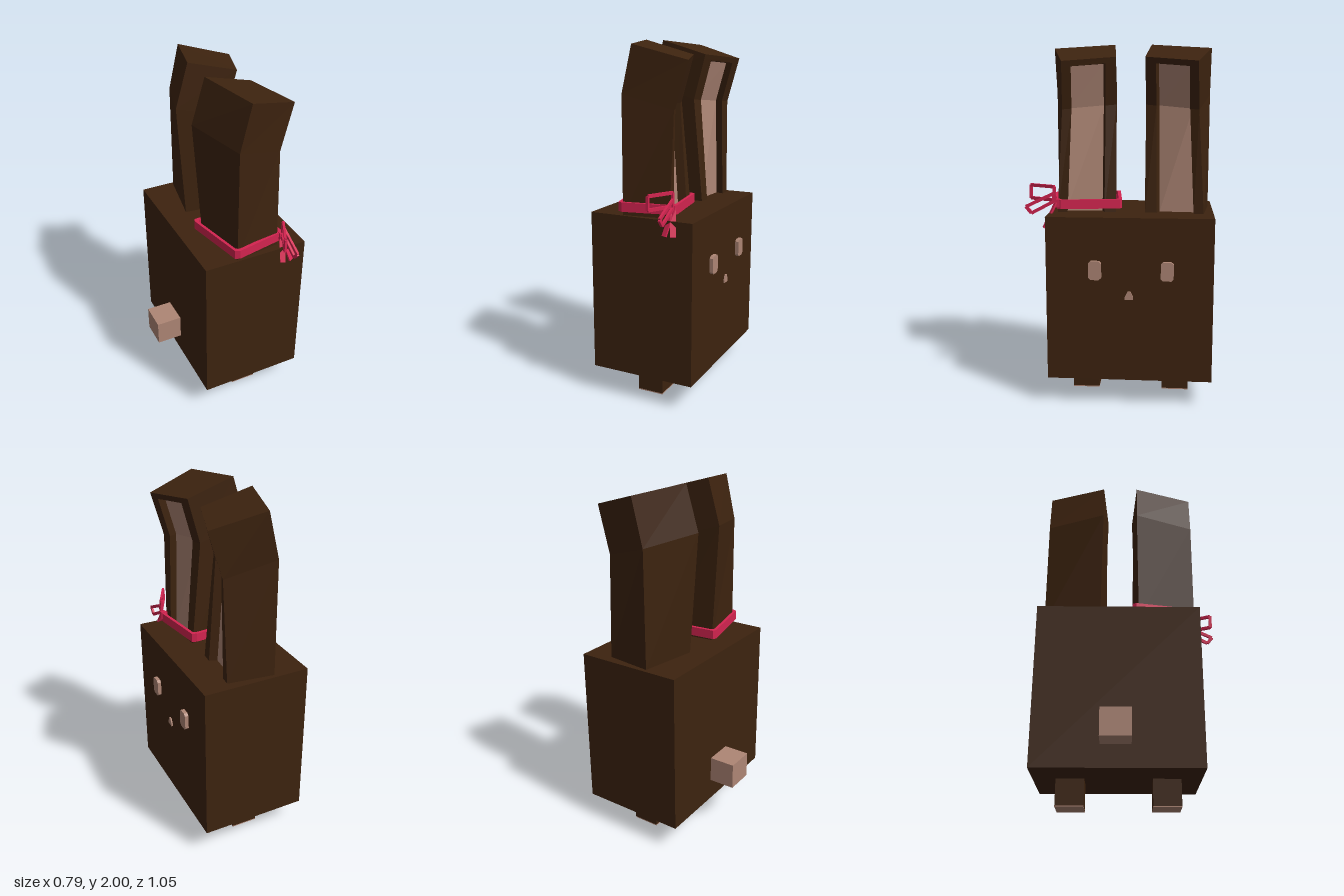
import * as THREE from 'three';

const mat = (name, color) => Object.assign(new THREE.MeshStandardMaterial({ color }), { name });
const V = (x, y, z) => new THREE.Vector3(x, y, z);

// Flat-shaded geometry from a list of four-cornered faces
function quadGeometry(quads, mirrored) {
  const p = [];
  for (const q of quads) {
    const c = q.map((v) => (mirrored ? V(v.x, v.y, -0.125 - v.z) : v));
    if (mirrored) c.reverse();
    for (const i of [0, 1, 2, 0, 2, 3]) p.push(c[i].x, c[i].y, c[i].z);
  }
  const g = new THREE.BufferGeometry();
  g.setAttribute('position', new THREE.Float32BufferAttribute(p, 3));
  g.computeVertexNormals();
  return g;
}

export function createModel() {
  const root = new THREE.Group();
  const brown = mat('brown fur', 0x3d230f);
  const pink = mat('dusty pink', 0xae8675);
  const red = mat('ribbon red', 0xd42450);

  function add(name, geometry, material, parent = root) {
    const m = new THREE.Mesh(geometry, material);
    m.name = name;
    parent.add(m);
    return m;
  }
  // Box given by its low and high corners
  function box(name, material, [x0, y0, z0], [x1, y1, z1]) {
    add(name, new THREE.BoxGeometry(x1 - x0, y1 - y0, z1 - z0), material)
      .position.set((x0 + x1) / 2, (y0 + y1) / 2, (z0 + z1) / 2);
  }
  // Flat strip from a to b
  function strip(name, a, b, w, h, parent) {
    const m = add(name, new THREE.BoxGeometry(w, h, a.distanceTo(b)), red, parent);
    m.position.copy(a).lerp(b, 0.5);
    m.lookAt(b);
  }

  // Body, tail and feet
  box('body', brown, [-0.245, 0.15, -0.525], [0.37, 1.07, 0.39]);
  box('tail', pink, [-0.395, 0.275, -0.16], [-0.245, 0.425, 0.005]);
  for (const [name, z] of [['left', 0.2], ['right', -0.323]]) {
    box(name + 'Foot', brown, [-0.015, 0.006, z - 0.077], [0.138, 0.15, z + 0.077]);
    box(name + 'Sole', pink, [-0.015, 0, z - 0.077], [0.138, 0.006, z + 0.077]);
  }

  // Eyes and nose: outlines pushed out from the face along +x
  function facePlate(name, outline, depth, x, y, z) {
    const shape = new THREE.Shape(outline.map(([a, b]) => new THREE.Vector2(a, b)));
    const m = add(name, new THREE.ExtrudeGeometry(shape, { depth, bevelEnabled: false }), pink);
    m.rotation.y = Math.PI / 2;
    m.position.set(x, y, z);
  }
  const eye = [[-0.035, -0.04], [-0.022, -0.052], [0.022, -0.052], [0.035, -0.04],
    [0.035, 0.04], [0.022, 0.052], [-0.022, 0.052], [-0.035, 0.04]];
  facePlate('leftEye', eye, 0.022, 0.369, 0.78, 0.12);
  facePlate('rightEye', eye, 0.022, 0.369, 0.78, -0.274);
  facePlate('nose', [[-0.023, -0.023], [0.023, -0.023], [0.023, -0.008], [0.008, 0.022],
    [-0.008, 0.022], [-0.023, -0.008]], 0.008, 0.376, 0.642, -0.067);

  // Ear cross-sections, corners: back inner, back outer, front outer, front inner
  const sections = [
    [V(-0.108, 1.065, 0.05), V(-0.05, 1.065, 0.378), V(0.215, 1.065, 0.345), V(0.19, 1.065, 0.018)],
    [V(-0.155, 1.75, 0.04), V(-0.05, 1.72, 0.378), V(0.222, 1.64, 0.31), V(0.13, 1.665, 0.02)],
    [V(-0.08, 2.0, 0.042), V(0.012, 1.975, 0.38), V(0.297, 1.895, 0.3), V(0.2, 1.92, 0.016)],
  ];
  const rimTop = sections[1].map((v, i) => v.clone().lerp(sections[2][i], 0.88));
  const levels = [sections[0], sections[1], rimTop, sections[2]];
  const front = (k, u) => levels[k][2].clone().lerp(levels[k][3], u);
  const floor = (k, u) => front(k, u).add(V(-0.045, 0, 0.015));
  const u0 = 0.17, u1 = 0.8;

  const shell = [sections[2], [...sections[0]].reverse()];
  const inner = [];
  for (let k = 0; k < 2; k++) {
    const lo = sections[k], hi = sections[k + 1];
    for (const [i, j] of [[0, 1], [1, 2], [3, 0]]) shell.push([lo[i], lo[j], hi[j], hi[i]]);
  }
  for (let k = 0; k < 2; k++) {
    const n = k + 1;
    shell.push(
      [front(k, 0), front(k, u0), front(n, u0), front(n, 0)],
      [front(k, u1), front(k, 1), front(n, 1), front(n, u1)],
      [front(k, u0), floor(k, u0), floor(n, u0), front(n, u0)],
      [floor(k, u1), front(k, u1), front(n, u1), floor(n, u1)]);
    inner.push([floor(k, u0), floor(k, u1), floor(n, u1), floor(n, u0)]);
  }
  shell.push([front(2, 0), front(2, 1), front(3, 1), front(3, 0)]);
  shell.push([floor(2, u0), floor(2, u1), front(2, u1), front(2, u0)]);

  for (const [name, mirrored] of [['left', false], ['right', true]]) {
    add(name + 'Ear', quadGeometry(shell, mirrored), brown);
    add(name + 'InnerEar', quadGeometry(inner, mirrored), pink);
  }

  // Ribbon band around the left ear
  const ribbon = new THREE.Group();
  ribbon.name = 'ribbon';
  root.add(ribbon);
  const outline = [[-0.147, 0.035], [-0.138, 0.016], [0.175, -0.014], [0.203, -0.005],
    [0.25, 0.322], [0.238, 0.345], [-0.045, 0.4], [-0.072, 0.388]].map(([x, z]) => new THREE.Vector2(x, z));
  const centre = new THREE.Vector2(0.055, 0.19);
  const band = new THREE.Shape(outline);
  band.holes.push(new THREE.Path(outline.map((p) => p.clone().lerp(centre, 0.1)).reverse()));
  const bandMesh = add('ribbonBand', new THREE.ExtrudeGeometry(band, { depth: 0.052, bevelEnabled: false }), red, ribbon);
  bandMesh.rotation.x = Math.PI / 2;
  bandMesh.position.y = 1.145;

  // Bow: knot, two open loops and two loose ends
  const knot = add('bowKnot', new THREE.BoxGeometry(0.03, 0.045, 0.03), red, ribbon);
  knot.position.set(0.238, 1.125, 0.345);
  const loops = [
    [V(0.24, 1.217, 0.358), V(0.168, 1.217, 0.502), V(0.168, 1.143, 0.502), V(0.24, 1.143, 0.358)],
    [V(0.243, 1.18, 0.362), V(0.243, 1.105, 0.518), V(0.243, 1.068, 0.488), V(0.243, 1.135, 0.362)],
  ];
  for (const loop of loops) {
    loop.forEach((p, i) => strip('bowLoop', p, loop[(i + 1) % 4], 0.013, 0.018, ribbon));
  }
  for (const x of [0.218, 0.27]) {
    strip('bowEnd', V(0.24, 1.13, 0.35), V(x, 0.99, 0.415), 0.03, 0.009, ribbon);
  }
  return root;
}
